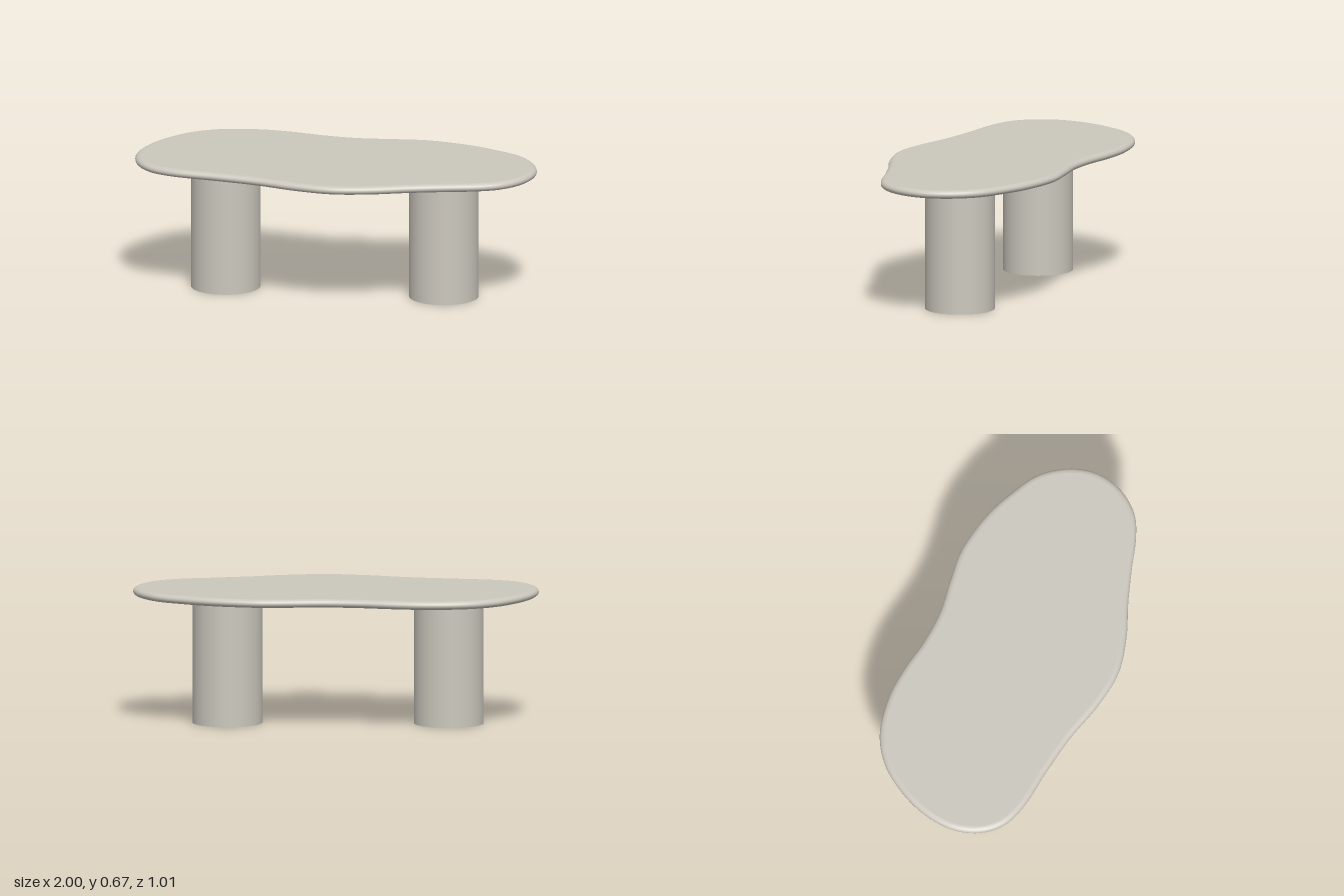
import * as THREE from 'three';

const TOP = 0.672, UNDER = 0.63, EDGE = 0.028, SEGMENTS = 192;

// Free-form outline of the table top as [x, z], running from the right end round the front
const OUTLINE = [
  [1, 0], [0.985, 0.107], [0.94, 0.2], [0.86, 0.28], [0.75, 0.328], [0.6, 0.365],
  [0.43, 0.412], [0.25, 0.472], [0.06, 0.503], [-0.13, 0.472], [-0.34, 0.405],
  [-0.556, 0.358], [-0.77, 0.318], [-0.89, 0.262], [-0.967, 0.165], [-1, 0.03],
  [-0.973, -0.13], [-0.9, -0.28], [-0.8, -0.4], [-0.66, -0.48], [-0.46, -0.508],
  [-0.29, -0.489], [-0.13, -0.452], [0.04, -0.434], [0.22, -0.447], [0.385, -0.453],
  [0.6, -0.403], [0.75, -0.333], [0.885, -0.245], [0.968, -0.125],
];

// Outline moved inwards by a distance
function insetLoop(curve, inset) {
  return Array.from({ length: SEGMENTS }, (_, i) => {
    const t = i / SEGMENTS;
    const p = curve.getPointAt(t), d = curve.getTangentAt(t);
    return new THREE.Vector2(p.x - d.z * inset, p.z + d.x * inset);
  });
}

// Rounded rim: the outline swept through a half-ellipse from underside to top
function rimGeometry(curve) {
  const steps = 12, positions = [], indices = [];
  const mid = (TOP + UNDER) / 2, half = (TOP - UNDER) / 2;
  for (let j = 0; j <= steps; j++) {
    const a = -Math.PI / 2 + (Math.PI * j) / steps;
    for (const p of insetLoop(curve, EDGE * (1 - Math.cos(a)))) {
      positions.push(p.x, mid + half * Math.sin(a), p.y);
    }
  }
  for (let j = 0; j < steps; j++) {
    for (let i = 0; i < SEGMENTS; i++) {
      const n = (i + 1) % SEGMENTS;
      const a = j * SEGMENTS + i, b = j * SEGMENTS + n;
      const c = a + SEGMENTS, d = b + SEGMENTS;
      indices.push(a, c, b, b, c, d);
    }
  }
  const geometry = new THREE.BufferGeometry();
  geometry.setAttribute('position', new THREE.Float32BufferAttribute(positions, 3));
  geometry.setIndex(indices);
  geometry.computeVertexNormals();
  return geometry;
}

// Flat face filling the inner edge of the rim, facing up (side 1) or down (side -1)
function faceGeometry(curve, side) {
  const points = insetLoop(curve, EDGE).map((p) => new THREE.Vector2(p.x, -side * p.y));
  const geometry = new THREE.ShapeGeometry(new THREE.Shape(points));
  geometry.rotateX((-side * Math.PI) / 2);
  geometry.translate(0, side > 0 ? TOP : UNDER, 0);
  return geometry;
}

export function createModel() {
  const model = new THREE.Group();
  model.name = 'table';
  const stone = new THREE.MeshStandardMaterial({ color: 0xcbc7bd });
  stone.name = 'warm grey stone';

  const add = (parent, name, geometry) => {
    const mesh = new THREE.Mesh(geometry, stone);
    mesh.name = name;
    parent.add(mesh);
    return mesh;
  };

  // Table top
  const curve = new THREE.CatmullRomCurve3(
    OUTLINE.map(([x, z]) => new THREE.Vector3(x, 0, z)), true, 'centripetal');
  curve.arcLengthDivisions = 1000;
  const tableTop = new THREE.Group();
  tableTop.name = 'tableTop';
  add(tableTop, 'rim', rimGeometry(curve));
  add(tableTop, 'upperFace', faceGeometry(curve, 1));
  add(tableTop, 'underside', faceGeometry(curve, -1));
  model.add(tableTop);

  // Two column legs
  for (const [name, x] of [['rightLeg', -0.557], ['leftLeg', 0.535]]) {
    const leg = add(model, name, new THREE.CylinderGeometry(0.172, 0.172, UNDER, 64));
    leg.position.set(x, UNDER / 2, -0.007);
  }
  return model;
}
